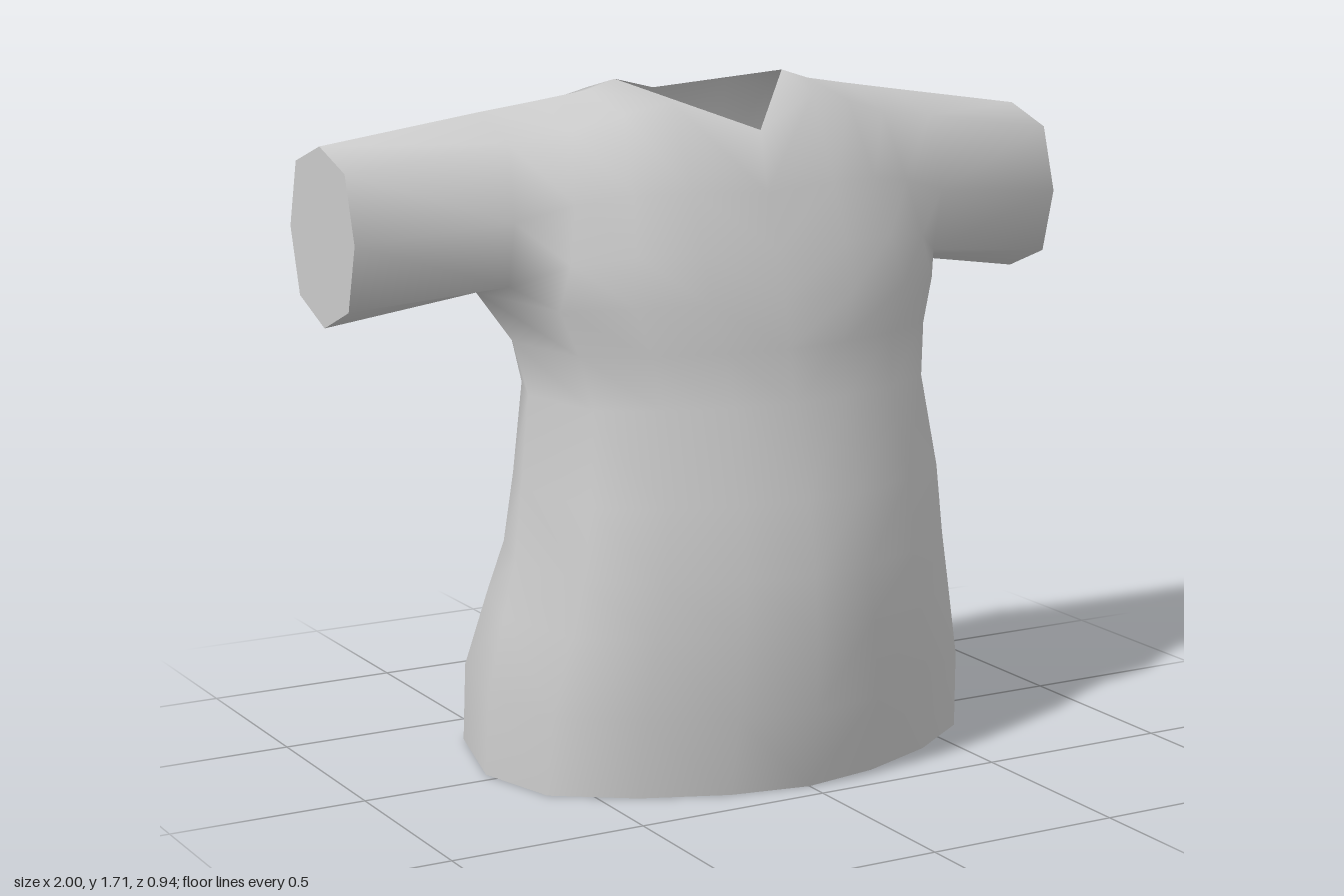
import * as THREE from 'three';
import { mergeVertices } from 'three/addons/utils/BufferGeometryUtils.js';

// Thin hollow cloth, visible inside through the open neck
const material = new THREE.MeshStandardMaterial({ color: 0xcccccc, side: THREE.DoubleSide });
const mirror = (p) => [-p[0], p[1], p[2]];

// Body rings: height, half width, side z, front z, front roundness, back z, back roundness
const RINGS = [
  [0, 0.655, -0.04, 0.437, 0.95, -0.465, 0.95],
  [0.2, 0.645, -0.04, 0.472, 0.95, -0.467, 0.95],
  [0.4, 0.6, -0.04, 0.472, 0.85, -0.41, 1.1],
  [0.54, 0.567, -0.04, 0.46, 0.75, -0.37, 1.3],
  [0.72, 0.545, -0.045, 0.425, 0.65, -0.358, 1.5],
  [0.95, 0.515, -0.06, 0.36, 0.6, -0.355, 1.6],
  [1.08, 0.54, -0.09, 0.333, 0.6, -0.368, 1.6],
];
// Outline from centre to side, as fractions of half width and depth
const FRONT = [[0, 1], [0.31, 0.92], [0.63, 0.73], [0.91, 0.45], [1, 0]];
const BACK = [[0, 1], [0.31, 0.98], [0.63, 0.9], [0.88, 0.69], [1, 0]];

// A higher roundness cuts the corners of the outline, a lower one fills them
const ringRows = (outline, k) => RINGS.map((r) =>
  outline.map(([fx, fz]) => [fx * r[1], r[0], r[2] + fz ** r[k + 1] * (r[k] - r[2])]));

// Rows over the chest, from the centre line to the sleeve root
const armpit = [0.61, 1.2, -0.15];
const shoulder = [null, [0.24, 1.71, -0.115], [0.32, 1.685, -0.12], [0.44, 1.665, -0.14], [0.6, 1.64, -0.165]];
const chestRows = [
  [[0, 1.2, 0.31], [0.2, 1.2, 0.3], [0.38, 1.2, 0.255], [0.53, 1.19, 0.15], armpit],
  [[0, 1.32, 0.275], [0.2, 1.32, 0.265], [0.36, 1.32, 0.22], [0.5, 1.3, 0.15], [0.61, 1.24, 0.035]],
  [[0, 1.45, 0.225], [0.2, 1.46, 0.21], [0.34, 1.46, 0.175], [0.47, 1.44, 0.12], [0.61, 1.4, 0.07]],
  [[0, 1.6, 0.19], [0.2, 1.67, 0.105], [0.32, 1.645, 0.08], [0.44, 1.61, 0.05], [0.6, 1.585, 0.02]],
  shoulder,
];
const upperBackRows = [
  [[0, 1.2, -0.385], [0.2, 1.2, -0.38], [0.37, 1.2, -0.35], [0.5, 1.2, -0.275], armpit],
  [[0, 1.32, -0.385], [0.2, 1.32, -0.385], [0.36, 1.31, -0.375], [0.49, 1.29, -0.345], [0.61, 1.25, -0.325]],
  [[0, 1.45, -0.38], [0.2, 1.45, -0.38], [0.34, 1.44, -0.378], [0.47, 1.42, -0.376], [0.61, 1.41, -0.376]],
  [[0, 1.655, -0.36], [0.2, 1.67, -0.33], [0.32, 1.64, -0.33], [0.44, 1.61, -0.335], [0.6, 1.58, -0.335]],
  shoulder,
];

// Sleeve opening (y, z): bottom, front, top, back
const CUFF = [[1.14, -0.18], [1.2, -0.03], [1.365, 0.015], [1.53, -0.035],
  [1.58, -0.185], [1.53, -0.335], [1.365, -0.38], [1.2, -0.33]];

// Adds a grid of points and its mirror image as triangles
function addGrid(out, rows, flip) {
  const tri = (a, b, c) => {
    if (!a || !b || !c) return;
    const t = flip ? [a, c, b] : [a, b, c];
    out.push(...t.flat(), ...[t[0], t[2], t[1]].map(mirror).flat());
  };
  for (let r = 0; r + 1 < rows.length; r++) {
    for (let c = 0; c + 1 < rows[r].length; c++) {
      const [a, b, d, e] = [rows[r][c], rows[r][c + 1], rows[r + 1][c + 1], rows[r + 1][c]];
      tri(a, b, d);
      tri(a, d, e);
    }
  }
}

function makeMesh(name, positions) {
  const soup = new THREE.BufferGeometry();
  soup.setAttribute('position', new THREE.Float32BufferAttribute(positions, 3));
  const geometry = mergeVertices(soup, 1e-4);
  geometry.computeVertexNormals();
  const mesh = new THREE.Mesh(geometry, material);
  mesh.name = name;
  return mesh;
}

// Closes a flat loop with a fan around its middle
function makeCap(name, loop) {
  const middle = [0, 1, 2].map((k) => loop.reduce((s, p) => s + p[k], 0) / loop.length);
  return makeMesh(name, loop.flatMap((p, i) => [...middle, ...p, ...loop[(i + 1) % loop.length]]));
}

export function createModel() {
  const group = new THREE.Group();
  group.name = 'shirt';

  const front = [...ringRows(FRONT, 3), ...chestRows];
  const back = [...ringRows(BACK, 5), ...upperBackRows];

  // Sleeves run from the edge of the chest and back panels to the cuff
  const root = [...chestRows.map((r) => r[4]),
    ...upperBackRows.slice(1, 4).reverse().map((r) => r[4])];
  const cuff = CUFF.map(([y, z]) => [1, y, z]);
  const sleeve = root.map((p, i) => [p, cuff[i]]);
  sleeve.push(sleeve[0]);

  // Cloth: one seamless smooth surface, open at the neck
  const cloth = [];
  addGrid(cloth, front, false);
  addGrid(cloth, back, true);
  addGrid(cloth, sleeve, false);
  group.add(makeMesh('bodyAndSleeves', cloth));

  // Flat closures of the hem and the cuffs
  const halfHem = [...front[0], ...back[0].slice(0, 4).reverse()];
  const hem = [...halfHem, ...halfHem.slice(1, -1).reverse().map(mirror)];
  group.add(makeCap('hemClosure', hem.reverse()));
  group.add(makeCap('leftCuffClosure', [...cuff].reverse()));
  group.add(makeCap('rightCuffClosure', cuff.map(mirror)));
  return group;
}
